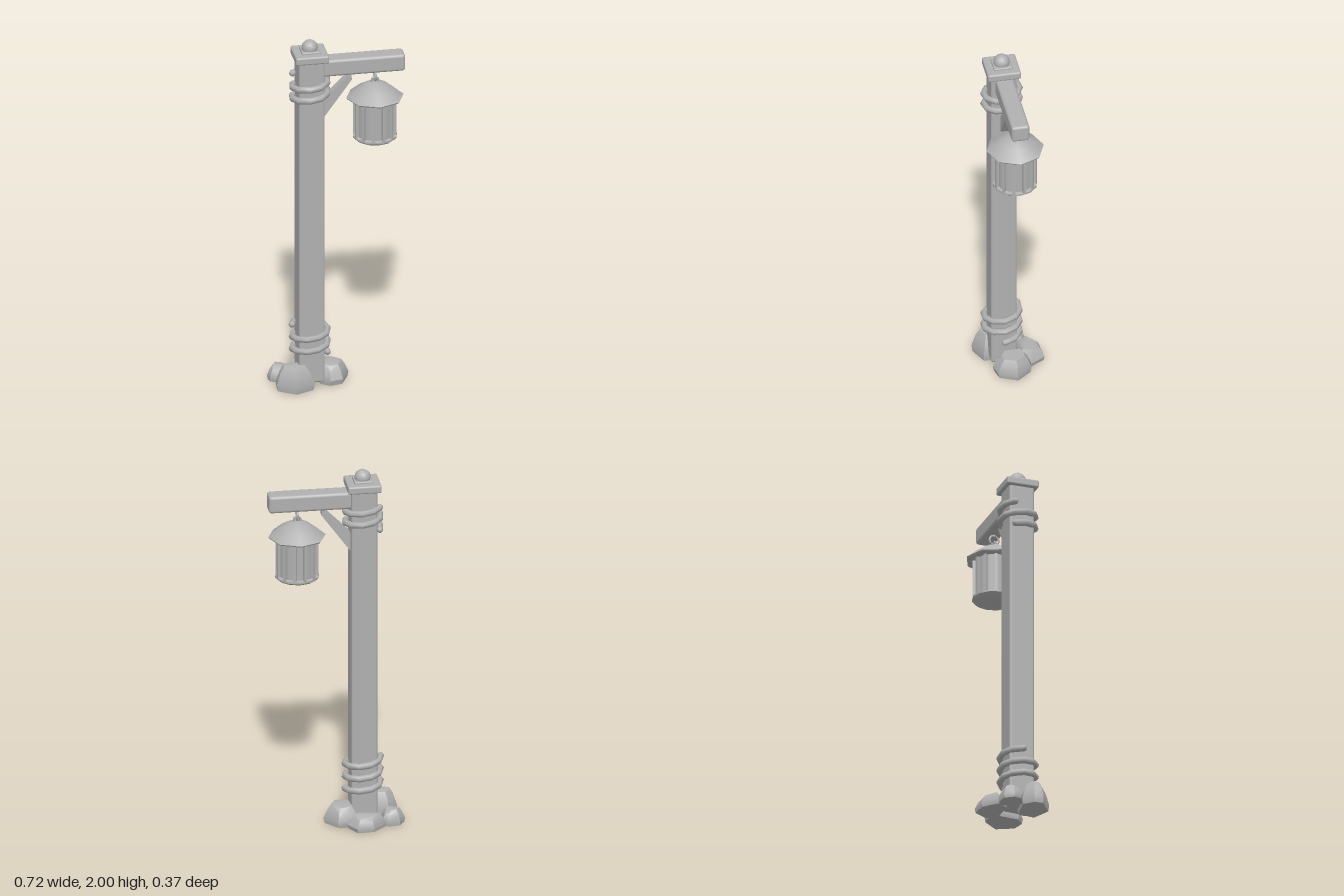
import * as THREE from 'three';
import { toCreasedNormals } from 'three/addons/utils/BufferGeometryUtils.js';
import { RoundedBoxGeometry } from 'three/addons/geometries/RoundedBoxGeometry.js';
import { ConvexGeometry } from 'three/addons/geometries/ConvexGeometry.js';

const PX = -0.15, PZ = 0.033; // post axis
const LX = 0.203; // lantern axis

export function createModel() {
  const model = new THREE.Group();
  model.name = 'lanternPost';
  const grey = new THREE.MeshStandardMaterial({ color: 0xb0b0b0 });
  grey.name = 'plainGrey';

  const add = (name, geometry, x = 0, y = 0, z = 0, parent = model) => {
    const mesh = new THREE.Mesh(geometry, grey);
    mesh.name = name;
    mesh.position.set(x, y, z);
    parent.add(mesh);
    return mesh;
  };
  const box = (w, h, d, r) => new RoundedBoxGeometry(w, h, d, 2, r);

  // Post, cap and finial
  add('post', box(0.14, 1.88, 0.14, 0.012), PX, 0.97, PZ);
  add('cap', box(0.18, 0.044, 0.18, 0.01), PX, 1.915, PZ);
  add('finialBase', box(0.1, 0.03, 0.1, 0.006), PX, 1.933, PZ);
  add('finialBall', new THREE.SphereGeometry(0.044, 12, 10), PX, 1.957, PZ);

  // Cross arm
  add('arm', box(0.46, 0.096, 0.098, 0.016), 0.13, 1.843, 0.03);

  // Slanted brace under the arm
  const braceShape = new THREE.Shape([
    [-0.1, 1.53], [-0.078, 1.55], [0.075, 1.76], [0.07, 1.795], [0.055, 1.785], [-0.1, 1.63],
  ].map(([x, y]) => new THREE.Vector2(x, y)));
  add('brace', new THREE.ExtrudeGeometry(braceShape, { depth: 0.046, bevelEnabled: false }), 0, 0, 0.007);

  // Rope coils rising left to right across the front
  const rope = (name, y, pitch, start, turns) => {
    const points = [];
    const n = Math.round(turns * 10);
    for (let i = 0; i <= n; i++) {
      const t = (i / n) * turns;
      const a = start - t * Math.PI * 2;
      points.push(new THREE.Vector3(PX + 0.096 * Math.cos(a), y + pitch * t, PZ + 0.096 * Math.sin(a)));
    }
    const curve = new THREE.CatmullRomCurve3(points);
    add(name, new THREE.TubeGeometry(curve, n, 0.018, 7), 0, 0, 0);
    // Closed, rounded ends
    for (const p of [points[0], points[n]]) {
      add(name + 'End', new THREE.SphereGeometry(0.018, 7, 6), p.x, p.y, p.z);
    }
  };
  rope('upperRope', 1.667, 0.064, Math.PI * 1.15, 2);
  rope('lowerRope', 0.175, 0.07, 0, 2.5);

  // Lantern
  const lantern = new THREE.Group();
  lantern.name = 'lantern';
  lantern.position.set(LX, 0, 0.03);
  model.add(lantern);
  const lathe = (profile, sides) => toCreasedNormals(
    new THREE.LatheGeometry(profile.map(([r, y]) => new THREE.Vector2(r, y)), sides), 0.7);
  add('roof', lathe([
    [0, 1.636], [0.15, 1.636], [0.155, 1.643], [0.14, 1.654], [0.095, 1.692],
    [0.05, 1.718], [0.02, 1.727], [0, 1.728],
  ], 8), 0, 0, 0, lantern);
  add('lanternBody', new THREE.CylinderGeometry(0.102, 0.102, 0.225, 12), 0, 1.53, 0, lantern);
  add('lanternBase', lathe([
    [0, 1.4], [0.105, 1.4], [0.119, 1.411], [0.119, 1.422], [0.1, 1.426], [0, 1.426],
  ], 12), 0, 0, 0, lantern);
  for (let i = 0; i < 12; i++) {
    const a = ((i + 0.5) * Math.PI) / 6;
    const bar = add('lanternBar', new THREE.BoxGeometry(0.016, 0.22, 0.018),
      0.106 * Math.sin(a), 1.53, 0.106 * Math.cos(a), lantern);
    bar.rotation.y = a;
  }

  // Linked rings and hanging rod
  add('lowerRing', new THREE.TorusGeometry(0.018, 0.006, 6, 12), 0, 1.735, 0, lantern);
  add('upperRing', new THREE.TorusGeometry(0.026, 0.006, 6, 12), 0, 1.762, 0, lantern).rotation.y = Math.PI / 2;
  add('hangingRod', new THREE.CylinderGeometry(0.005, 0.005, 0.03, 6), 0, 1.795, 0, lantern);

  // Base rocks: a footprint stepping inward to a smaller, slightly tilted top
  const rock = (name, outline, height, topScale, tilt) => {
    const cx = outline.reduce((s, p) => s + p[0], 0) / outline.length;
    const cz = outline.reduce((s, p) => s + p[1], 0) / outline.length;
    const points = [];
    for (const [scale, level] of [[0.94, 0.004], [1, 0.28], [(1 + topScale) / 2, 0.72], [topScale, 1]]) {
      outline.forEach(([x, z], i) => {
        const dip = level === 1 ? tilt * (i % 3) : 0;
        points.push(new THREE.Vector3(cx + (x - cx) * scale, level * height - dip, cz + (z - cz) * scale));
      });
    }
    add(name, toCreasedNormals(new ConvexGeometry(points), 0.6));
  };
  rock('frontRock', [[-0.34, 0.06], [-0.342, 0.11], [-0.245, 0.177], [-0.14, 0.13], [-0.15, 0.03], [-0.29, 0.01]],
    0.14, 0.55, 0.004);
  rock('leftRock', [[-0.33, -0.11], [-0.27, -0.12], [-0.235, -0.1], [-0.24, -0.02], [-0.29, 0.012], [-0.355, -0.02], [-0.364, -0.06]],
    0.085, 0.5, 0.006);
  rock('backRock', [[-0.258, -0.11], [-0.18, -0.182], [-0.09, -0.188], [-0.045, -0.11], [-0.09, -0.05], [-0.22, -0.05]],
    0.082, 0.6, 0.005);
  rock('rightRock', [[-0.11, -0.08], [-0.05, -0.105], [0, -0.1], [0.068, -0.015], [0.02, 0.083], [-0.05, 0.1], [-0.1, 0.06]],
    0.106, 0.6, 0.003);

  return model;
}
